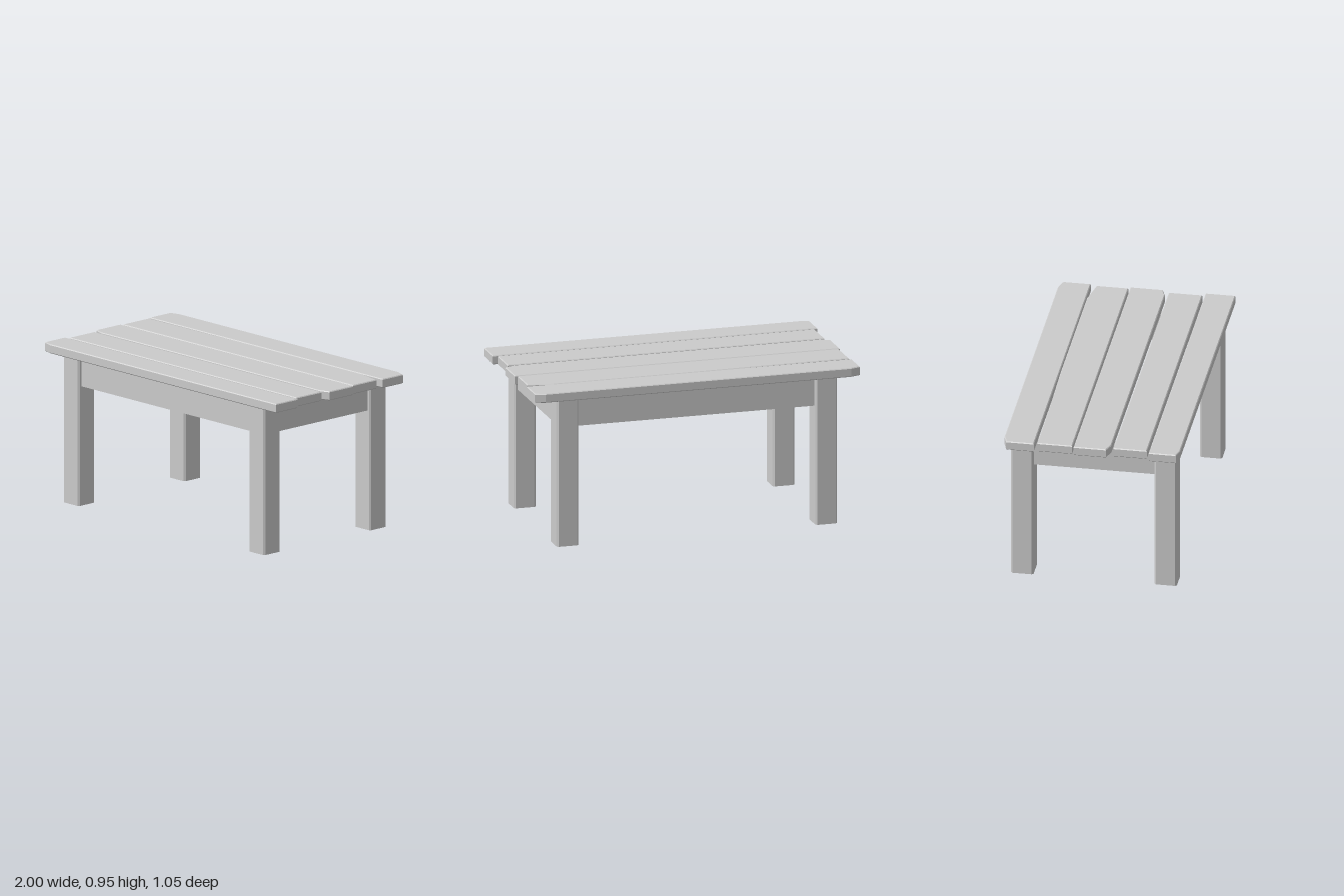
import * as THREE from 'three';

const material = new THREE.MeshStandardMaterial({ color: 0xcccccc, flatShading: true });
const TOP = 0.95, UNDER = 0.895;

// Extrudes an outline of [x, z] points between two heights, with a small edge bevel
function slab(name, points, bottom, top, bevel) {
  const shape = new THREE.Shape(points.map(([x, z]) => new THREE.Vector2(x, z)));
  const geometry = new THREE.ExtrudeGeometry(shape, {
    depth: top - bottom - 2 * bevel,
    bevelEnabled: bevel > 0, bevelThickness: bevel, bevelSize: bevel, bevelOffset: -bevel, bevelSegments: 1,
  });
  geometry.rotateX(Math.PI / 2).translate(0, top - bevel, 0);
  const mesh = new THREE.Mesh(geometry, material);
  mesh.name = name;
  return mesh;
}

function box(name, w, h, d, x, y, z) {
  const mesh = new THREE.Mesh(new THREE.BoxGeometry(w, h, d), material);
  mesh.position.set(x, y, z);
  mesh.name = name;
  return mesh;
}

export function createModel() {
  const table = new THREE.Group();
  table.name = 'slattedTable';

  // Tabletop planks, back to front, some with trimmed corners
  const planks = [
    [[-1, -0.505], [-0.94, -0.525], [0.94, -0.525], [1, -0.505], [1, -0.34], [-1, -0.34]],
    [[-0.99, -0.322], [-0.4, -0.327], [-0.1, -0.333], [0.83, -0.333], [0.985, -0.303], [0.985, -0.113], [-0.99, -0.113]],
    [[-1, -0.103], [1, -0.103], [1, 0.09], [0.94, 0.112], [-0.94, 0.112], [-1, 0.09]],
    [[-0.977, 0.13], [0.973, 0.13], [0.973, 0.33], [-0.977, 0.33]],
    [[-1, 0.345], [1, 0.345], [1, 0.523], [-0.94, 0.523], [-1, 0.507]],
  ];
  const tabletop = new THREE.Group();
  tabletop.name = 'tabletop';
  planks.forEach((points, i) => tabletop.add(slab(`plank${i + 1}`, points, UNDER, TOP, 0.005)));
  table.add(tabletop);

  // Square legs with narrow chamfers along their edges
  const h = 0.067, k = h - 0.01;
  const section = [[-k, -h], [k, -h], [h, -k], [h, k], [k, h], [-k, h], [-h, k], [-h, -k]];
  for (const [side, x] of [['left', 0.796], ['right', -0.796]]) {
    for (const [end, z] of [['Front', 0.422], ['Back', -0.433]]) {
      const leg = slab(`${side}${end}Leg`, section, 0, UNDER, 0);
      leg.position.set(x, 0, z);
      table.add(leg);
    }
    // Side rail between the front and back legs
    table.add(box(`${side}Rail`, 0.055, 0.17, 0.74, Math.sign(x) * 0.813, 0.81, -0.005));
  }

  // Long rails between the left and right legs
  table.add(box('frontRail', 1.48, 0.17, 0.055, 0, 0.81, 0.44));
  table.add(box('backRail', 1.48, 0.17, 0.055, 0, 0.81, -0.45));
  return table;
}
